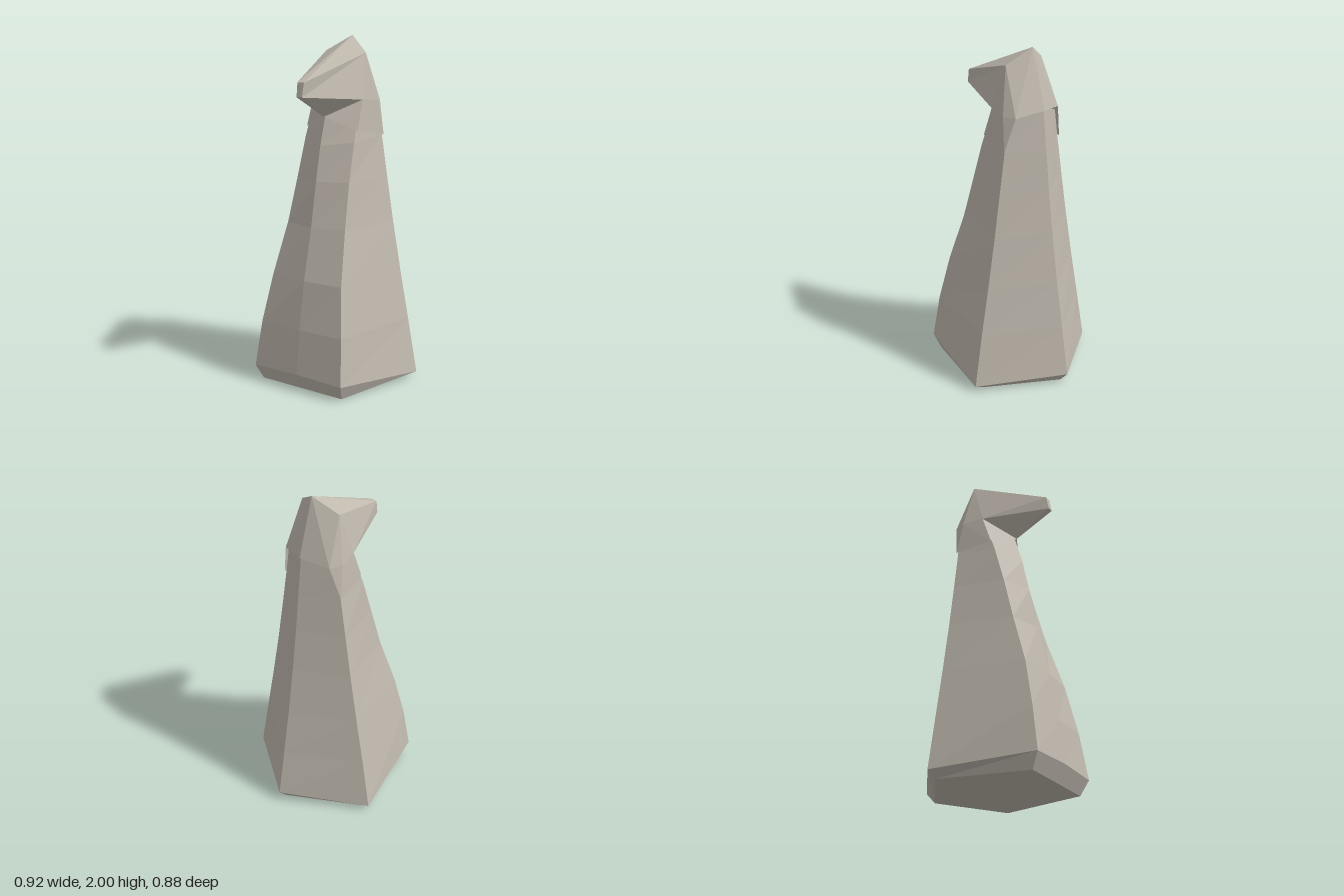
import * as THREE from 'three';

const stone = new THREE.MeshStandardMaterial({ color: 0xc0b9ae, flatShading: true, side: THREE.DoubleSide });
stone.name = 'warm grey stone';

// Triangulates convex polygons given as lists of points
function facets(name, polygons) {
  const pos = [];
  for (const p of polygons)
    for (let i = 1; i < p.length - 1; i++) pos.push(...p[0], ...p[i], ...p[i + 1]);
  const geo = new THREE.BufferGeometry();
  geo.setAttribute('position', new THREE.Float32BufferAttribute(pos, 3));
  geo.computeVertexNormals();
  const mesh = new THREE.Mesh(geo, stone);
  mesh.name = name;
  return mesh;
}

const flip = ([x, y, z]) => [-x, y, z];
// Adds the mirror image of each polygon, with its winding reversed
const mirrored = (polys) => [...polys, ...polys.map((p) => p.map(flip).reverse())];

// Six-cornered cross-section: back ridge, sides, front corners, front centre
function ring(back, side, corner, centre) {
  return [[0, ...back], flip(side), flip(corner), [0, ...centre], corner, side];
}

function createBody() {
  const rings = [
    ring([0, -0.385], [0.39, 0, -0.13], [0.28, 0, 0.39], [0, 0.39]),
    ring([0.06, -0.44], [0.46, 0.035, -0.135], [0.305, 0.09, 0.435], [0.1, 0.44]),
    ring([0.36, -0.39], [0.4, 0.36, -0.13], [0.28, 0.36, 0.395], [0.36, 0.408]),
    ring([0.64, -0.343], [0.345, 0.64, -0.128], [0.24, 0.64, 0.335], [0.64, 0.36]),
    ring([0.94, -0.3], [0.29, 0.94, -0.126], [0.2, 0.94, 0.24], [0.94, 0.288]),
    ring([1.2, -0.267], [0.247, 1.2, -0.125], [0.18, 1.2, 0.17], [1.2, 0.238]),
    ring([1.42, -0.244], [0.208, 1.44, -0.125], [0.17, 1.42, 0.105], [1.4, 0.195]),
    ring([1.68, -0.215], [0.185, 1.6, -0.125], [0.16, 1.55, 0.06], [1.58, 0.14]),
  ];
  const polys = [[...rings[0]].reverse(), rings[rings.length - 1]].map((p) => p.slice().reverse());
  for (let r = 0; r < rings.length - 1; r++)
    for (let i = 0; i < 6; i++) {
      const j = (i + 1) % 6;
      const a = rings[r], b = rings[r + 1];
      polys.push([a[i], b[i], b[j]].reverse(), [a[i], b[j], a[j]].reverse());
    }
  // Rings run back, right, front, left, so faces are turned outward here
  return facets('body', polys.map((p) => p.slice().reverse()).map(orientOut));
}

// Turns a polygon so that it faces away from the central axis
function orientOut(p) {
  const [a, b, c] = p.map((v) => new THREE.Vector3(...v));
  const n = b.clone().sub(a).cross(c.clone().sub(a));
  const mid = a.clone().add(b).add(c).divideScalar(3).sub(new THREE.Vector3(0, 0.8, -0.05));
  return n.dot(mid) < 0 ? p.slice().reverse() : p;
}

export function createModel() {
  const group = new THREE.Group();
  group.name = 'birdHeadedPiece';

  // Head corner points on the model's left
  const peak = [0, 2, -0.13];
  const brow = [0.137, 1.91, -0.06];
  const tipTop = [0.022, 1.775, 0.375];
  const tipLow = [0.018, 1.695, 0.39];
  const beakRoot = [0.17, 1.655, 0.02];
  const chin = [0, 1.56, 0.16];
  const hoodFront = [0.176, 1.485, 0.08];
  const hoodDip = [0.217, 1.44, -0.13];
  const cheek = [0.196, 1.64, -0.1];
  const hoodBack = [0.165, 1.635, -0.168];
  const nape = [0, 1.66, -0.227];

  const beak = facets('beak', [
    ...mirrored([
      [peak, tipTop, brow],
      [brow, tipTop, tipLow, beakRoot],
      [beakRoot, tipLow, chin],
    ]),
    [peak, flip(tipTop), tipTop],
    [flip(tipTop), flip(tipLow), tipLow, tipTop],
    [tipLow, flip(tipLow), chin],
  ]);

  const hood = facets('hood', mirrored([
    [beakRoot, chin, hoodFront],
    [brow, beakRoot, cheek],
    [beakRoot, hoodFront, hoodDip, cheek],
    [cheek, hoodDip, hoodBack],
    [brow, cheek, hoodBack],
    [peak, brow, hoodBack],
    [peak, hoodBack, nape],
  ]));

  group.add(createBody(), beak, hood);
  return group;
}
